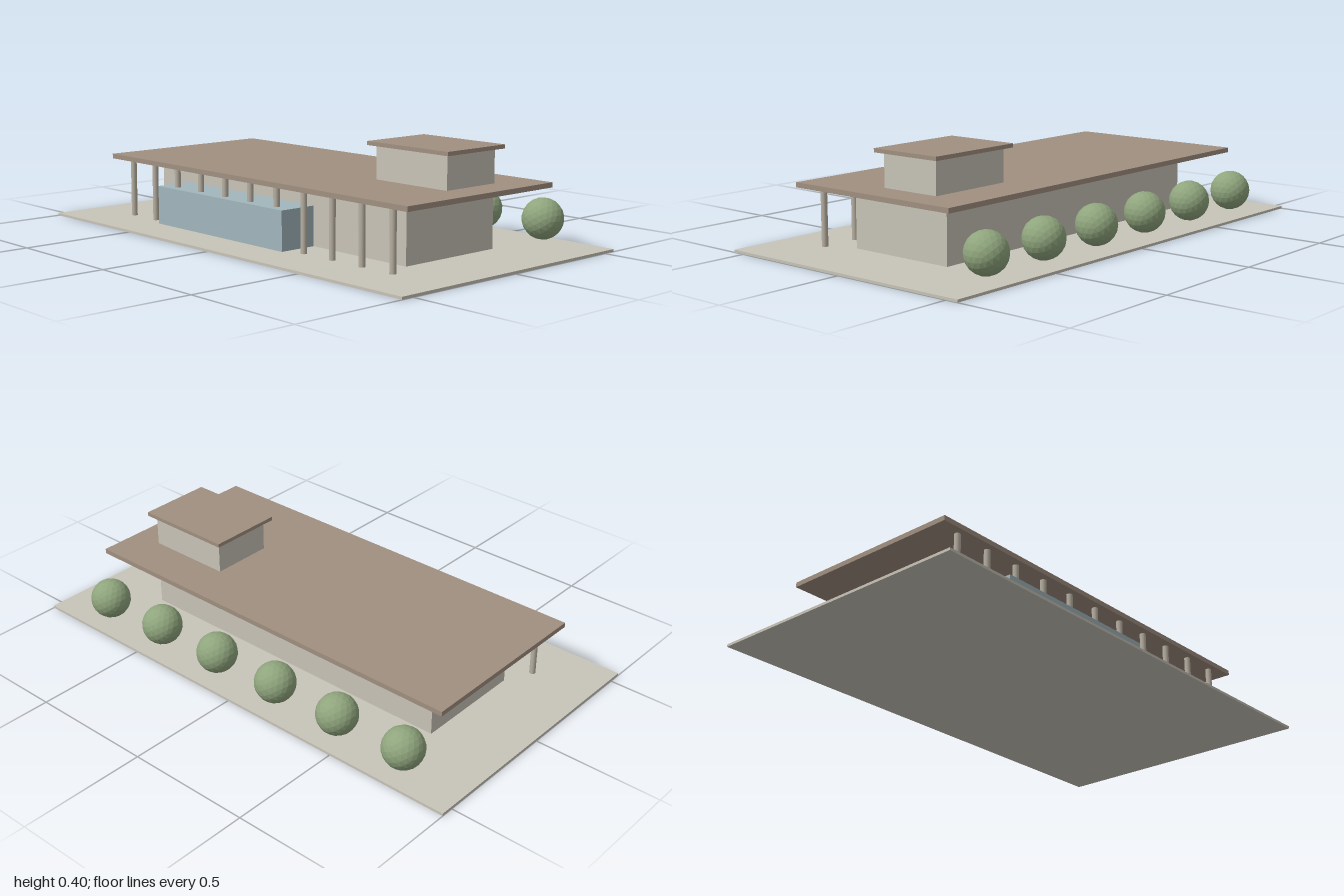
import * as THREE from 'three';

const material = (name, color, flatShading = false) => {
  const m = new THREE.MeshStandardMaterial({ color, flatShading });
  m.name = name;
  return m;
};

export function createModel() {
  const group = new THREE.Group();
  group.name = 'pavilionHouse';

  const stone = material('pale stone', 0xc8c4b8);
  const roofing = material('brown roofing', 0xa09080);
  const glass = material('blue glass', 0xa2b6bd);
  const post = material('warm grey post', 0xb8b0a2);
  const leaf = material('leaf green', 0x8fa57d, true);

  const add = (name, geometry, mat, x, y, z, parent = group) => {
    const mesh = new THREE.Mesh(geometry, mat);
    mesh.name = name;
    mesh.position.set(x, y, z);
    parent.add(mesh);
    return mesh;
  };

  // Box given by its [min, max] range on each axis
  const box = (name, mat, [x0, x1], [y0, y1], [z0, z1]) =>
    add(name, new THREE.BoxGeometry(x1 - x0, y1 - y0, z1 - z0), mat,
      (x0 + x1) / 2, (y0 + y1) / 2, (z0 + z1) / 2);

  // Plinth, main hall and overhanging roof
  box('groundSlab', stone, [-1, 1], [0, 0.01], [-0.55, 0.55]);
  box('mainHall', stone, [-0.7, 0.7], [0.01, 0.239], [-0.225, 0.225]);
  box('mainRoof', roofing, [-0.85, 0.85], [0.239, 0.258], [-0.375, 0.375]);

  // Glazed bay projecting from the front
  box('glassBay', glass, [-0.525, 0.225], [0.01, 0.162], [0.2, 0.38]);

  // Small upper storey with its own roof
  box('upperRoom', stone, [0.375, 0.725], [0.258, 0.385], [-0.2, 0.05]);
  box('upperRoof', roofing, [0.35, 0.75], [0.385, 0.4], [-0.225, 0.075]);

  // Front colonnade
  const colonnade = new THREE.Group();
  colonnade.name = 'colonnade';
  group.add(colonnade);
  const columnGeometry = new THREE.CylinderGeometry(0.012, 0.012, 0.229, 16);
  for (let i = -5; i <= 5; i++) {
    add('column', columnGeometry, post, i * 0.15, 0.1245, 0.34, colonnade);
  }

  // Row of round shrubs along the back
  const shrubs = new THREE.Group();
  shrubs.name = 'shrubs';
  group.add(shrubs);
  const shrubGeometry = new THREE.IcosahedronGeometry(0.079, 3);
  for (let i = 0; i < 6; i++) {
    add('shrub', shrubGeometry, leaf, -0.75 + i * 0.3, 0.102, -0.45, shrubs);
  }

  return group;
}
